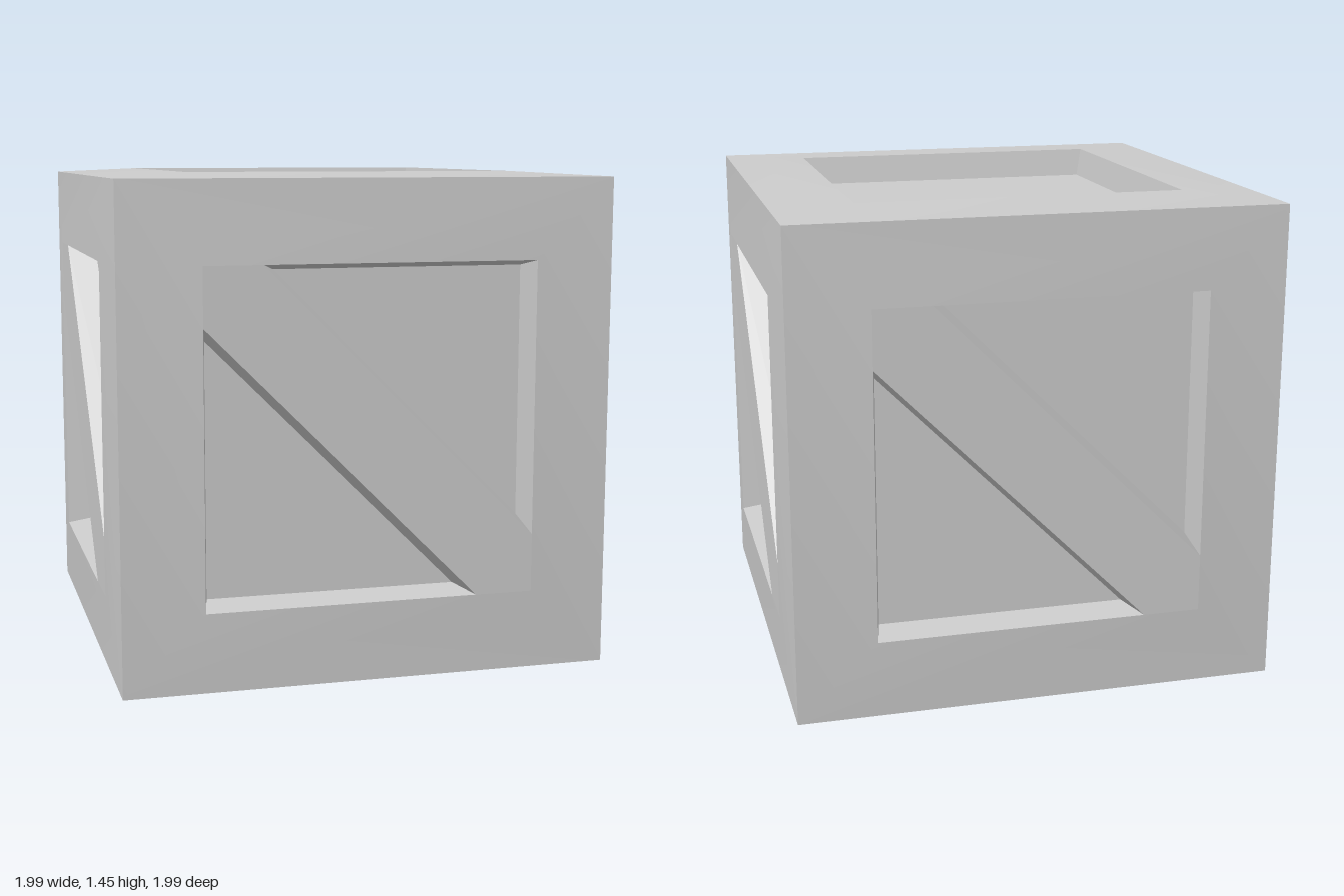
import * as THREE from 'three';
import { toCreasedNormals } from 'three/addons/utils/BufferGeometryUtils.js';

const HALF = 0.709;   // half edge of the crate
const BULGE = 0.0135; // frames rise slightly towards their openings
const OPEN = 0.478;   // half size of a panel opening
const CUT = 0.31;     // where the brace meets the opening
const DEPTH = 0.085;  // recess depth
const TAPER = 0.018;  // recess walls lean inwards
const FACE = HALF + BULGE;

const material = new THREE.MeshStandardMaterial({ color: 0xcccccc });

// Mesh from convex polygons, each a counter-clockwise list of [x, y, z]
function polyMesh(name, polygons) {
  const pos = [];
  for (const p of polygons) {
    for (let i = 1; i < p.length - 1; i++) pos.push(...p[0], ...p[i], ...p[i + 1]);
  }
  const geometry = new THREE.BufferGeometry();
  geometry.setAttribute('position', new THREE.Float32BufferAttribute(pos, 3));
  const mesh = new THREE.Mesh(toCreasedNormals(geometry, 0.4), material);
  mesh.name = name;
  return mesh;
}

const atZ = (loop, z) => loop.map(([x, y]) => [x, y, z]);
const square = (s) => [[-s, -s], [s, -s], [s, s], [-s, s]];

// Polygons joining an outer loop to an inner loop
const band = (outer, inner) => outer.map((p, i) => {
  const j = (i + 1) % outer.length;
  return [p, outer[j], inner[j], inner[i]];
});

// Shrink a convex counter-clockwise loop by t
function inset(loop, t) {
  const n = loop.length;
  const dir = (a, b) => {
    const l = Math.hypot(b[0] - a[0], b[1] - a[1]);
    return [(b[0] - a[0]) / l, (b[1] - a[1]) / l];
  };
  return loop.map((p, i) => {
    const a = dir(loop[(i + n - 1) % n], p);
    const b = dir(p, loop[(i + 1) % n]);
    const k = t / (a[0] * b[1] - a[1] * b[0]);
    return [p[0] + (b[0] - a[0]) * k, p[1] + (b[1] - a[1]) * k];
  });
}

// Sunken pocket: tapered walls and a flat floor
function recess(name, loop) {
  const floor = atZ(inset(loop, TAPER), FACE - DEPTH);
  return polyMesh(name, [...band(atZ(loop, FACE), floor), floor]);
}

// One crate face, built looking along +z
function panel(name, braced) {
  const group = new THREE.Group();
  group.name = name;
  group.add(polyMesh('frame', band(atZ(square(HALF), HALF), atZ(square(OPEN), FACE))));
  if (braced) {
    const o = OPEN, c = CUT;
    group.add(polyMesh('diagonalBrace', [
      atZ([[-o, o], [-o, c], [c, -o], [o, -o], [o, -c], [-c, o]], FACE),
    ]));
    group.add(recess('upperRecess', [[-c, o], [o, -c], [o, o]]));
    group.add(recess('lowerRecess', [[-o, -o], [c, -o], [-o, c]]));
  } else {
    group.add(recess('squareRecess', square(OPEN)));
  }
  return group;
}

export function createModel() {
  const crate = new THREE.Group();
  crate.name = 'crate';

  // Four braced sides
  ['frontPanel', 'leftPanel', 'backPanel', 'rightPanel'].forEach((name, i) => {
    const side = panel(name, true);
    side.rotation.y = i * Math.PI / 2;
    crate.add(side);
  });

  // Plain lid and base
  const lid = panel('lid', false);
  lid.rotation.x = -Math.PI / 2;
  const base = panel('base', false);
  base.rotation.x = Math.PI / 2;
  crate.add(lid, base);

  // The crate stands turned on the ground
  crate.rotation.y = -0.67;
  crate.position.y = FACE;

  const model = new THREE.Group();
  model.name = 'model';
  model.add(crate);
  return model;
}
